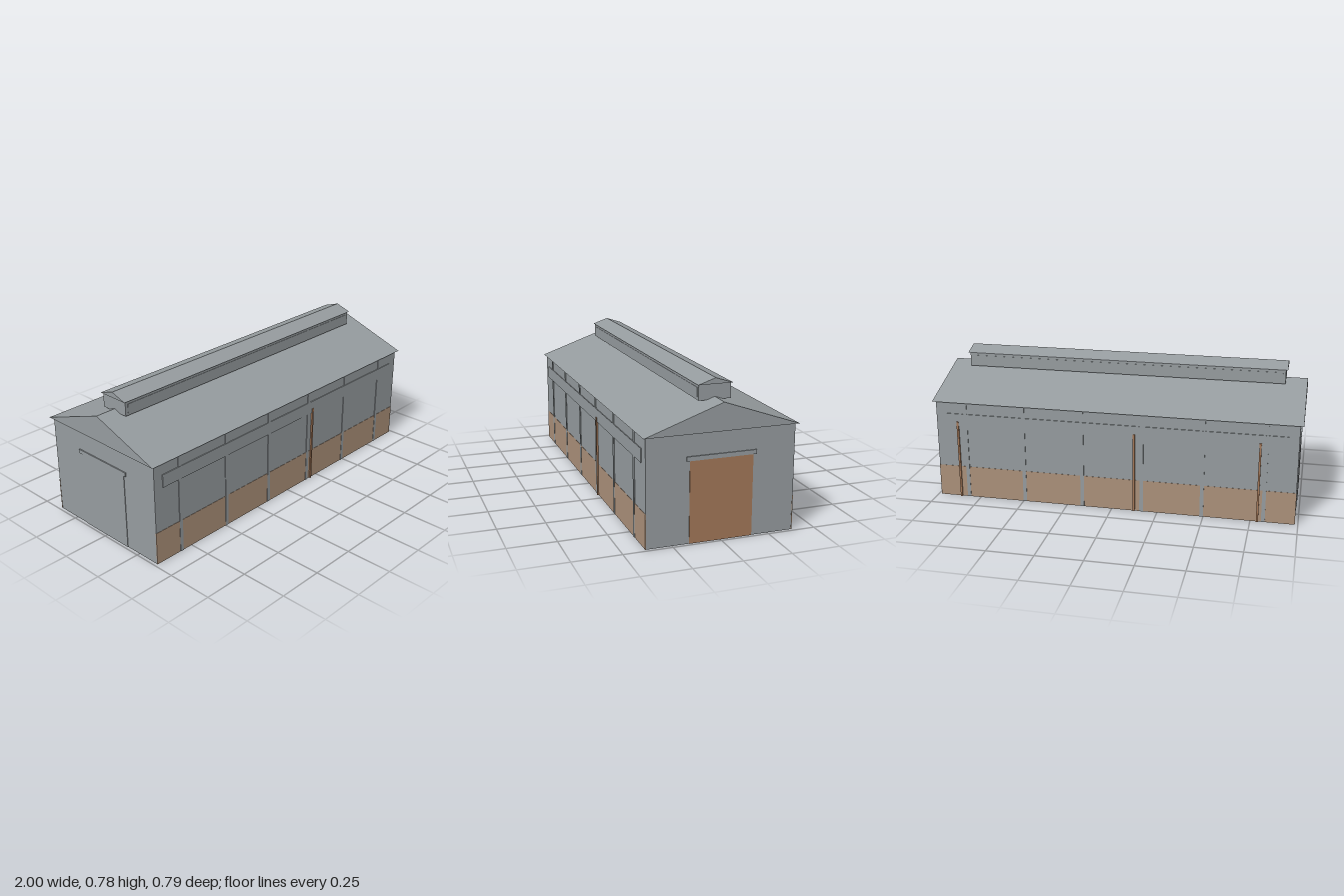
import * as THREE from 'three';

export function createModel() {
  const group = new THREE.Group();
  const material = (name, color) => {
    const m = new THREE.MeshStandardMaterial({ color });
    m.name = name;
    return m;
  };
  const grey = material('greyCladding', 0x959b9e);
  const base = material('lightBrownPlinth', 0xab9079);
  const brown = material('brownTimber', 0xa27758);

  const add = (name, geometry, mat) => {
    const mesh = new THREE.Mesh(geometry, mat);
    mesh.name = name;
    group.add(mesh);
    return mesh;
  };
  // Box given by its minimum and maximum on each axis
  const box = (name, mat, x0, x1, y0, y1, z0, z1) => {
    const g = new THREE.BoxGeometry(x1 - x0, y1 - y0, z1 - z0);
    g.translate((x0 + x1) / 2, (y0 + y1) / 2, (z0 + z1) / 2);
    return add(name, g, mat);
  };
  // Plate on a long wall; side is +1 for the front and -1 for the back
  const wallPlate = (name, mat, side, x, width, y0, y1, depth) => {
    const zs = [side * 0.38, side * depth].sort((a, b) => a - b);
    return box(name, mat, x - width / 2, x + width / 2, y0, y1, zs[0], zs[1]);
  };
  // Solid gabled roof running along x
  const gable = (name, halfLength, halfWidth, eave, ridge) => {
    const s = new THREE.Shape();
    s.moveTo(-halfWidth, eave);
    s.lineTo(halfWidth, eave);
    s.lineTo(0, ridge);
    s.closePath();
    const g = new THREE.ExtrudeGeometry(s, { depth: 2 * halfLength, bevelEnabled: false });
    g.translate(0, 0, -halfLength);
    g.rotateY(Math.PI / 2);
    return add(name, g, grey);
  };

  // Main hall and roof
  box('hall', grey, -0.983, 0.983, 0, 0.55, -0.383, 0.383);
  gable('mainRoof', 1, 0.397, 0.55, 0.69);

  // Raised ridge vent
  box('ridgeVent', grey, -0.885, 0.885, 0.675, 0.753, -0.083, 0.083);
  gable('ridgeVentRoof', 0.895, 0.09, 0.753, 0.783);

  for (const side of [1, -1]) {
    // Vent louvre strip
    const zs = side > 0 ? [0.08, 0.085] : [-0.085, -0.08];
    box('ventStrip', grey, -0.87, 0.87, 0.69, 0.737, zs[0], zs[1]);

    // Plinth, window band and posts along each long wall
    wallPlate('plinth', base, side, 0, 1.968, 0, 0.178, 0.3845);
    wallPlate('windowBand', grey, side, 0, 1.86, 0.415, 0.485, 0.3875);
    for (let i = 0; i < 6; i++) {
      wallPlate('wallPost', grey, side, (i - 2.5) * 0.327, 0.02, 0, 0.55, 0.3865);
    }
  }

  // Narrow timber uprights: one in front, three behind
  wallPlate('frontUpright', brown, 1, 0.195, 0.011, 0, 0.44, 0.392);
  for (const x of [-0.787, -0.123, 0.862]) {
    wallPlate('backUpright', brown, -1, x, 0.011, 0, 0.44, 0.392);
  }

  // End doors with lintels
  box('rightDoor', brown, 0.98, 0.986, 0, 0.416, -0.163, 0.163);
  box('rightLintel', grey, 0.98, 0.989, 0.416, 0.438, -0.18, 0.18);
  box('leftDoor', grey, -0.986, -0.98, 0, 0.416, -0.163, 0.163);
  box('leftLintel', grey, -0.989, -0.98, 0.416, 0.438, -0.18, 0.18);

  return group;
}
